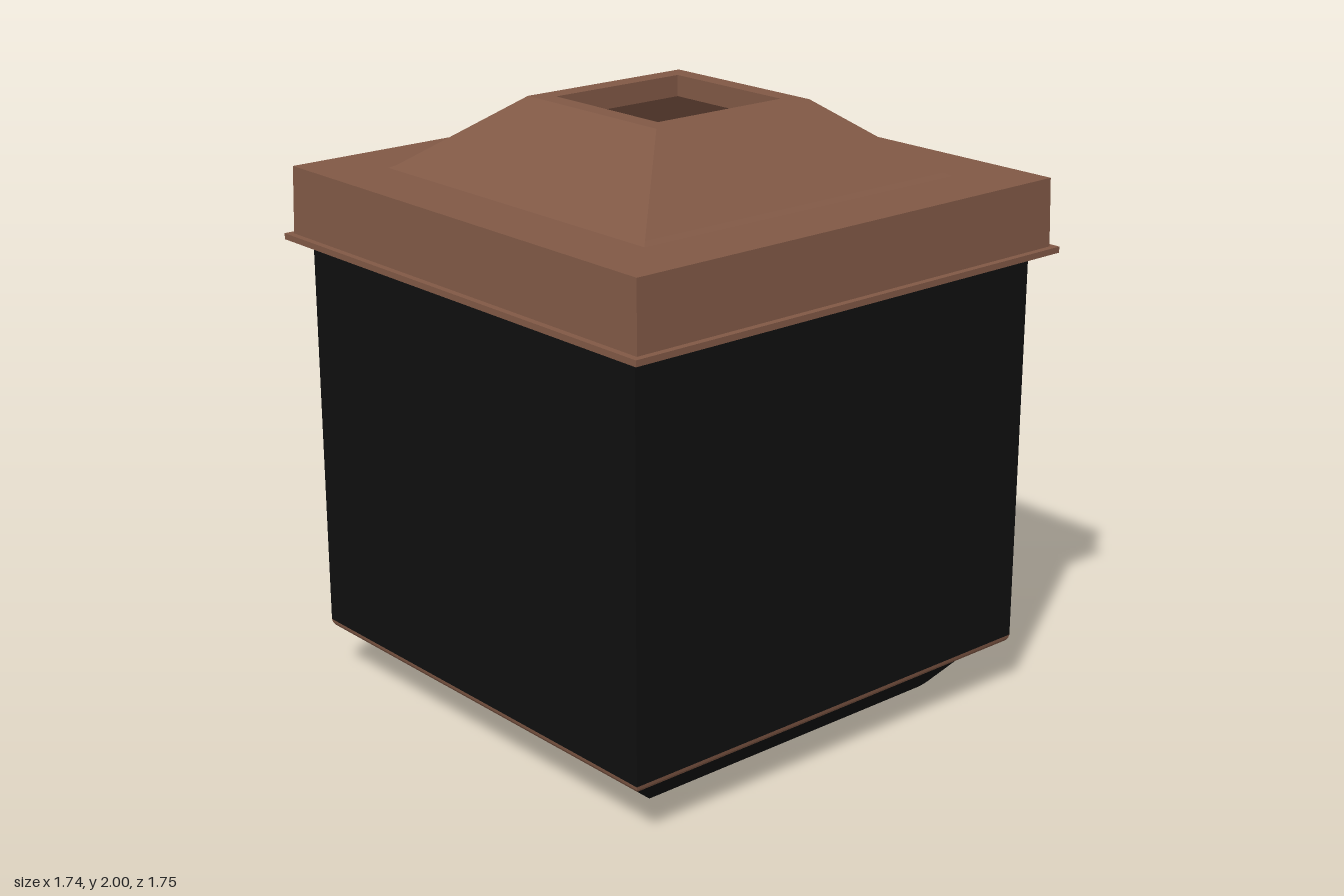
import * as THREE from 'three';

const brown = new THREE.MeshStandardMaterial({ color: 0x805845 });
const black = new THREE.MeshStandardMaterial({ color: 0x0f0f0f });

// Sweeps a profile of [halfWidth, halfDepth, y] around four flat sides.
// Profiles run outward underneath, up the outside, then in and down the inside.
function squareLoft(name, profile, material) {
  const corners = [[1, 1], [1, -1], [-1, -1], [-1, 1]];
  const point = ([hx, hz, y], k) => {
    const [sx, sz] = corners[k % 4];
    return new THREE.Vector3(sx * hx, y, sz * hz);
  };
  const positions = [];
  const triangle = (...pts) => {
    if (new THREE.Triangle(...pts).getArea() < 1e-8) return;
    pts.forEach((p) => positions.push(p.x, p.y, p.z));
  };
  for (let i = 0; i < profile.length - 1; i++) {
    for (let k = 0; k < 4; k++) {
      const a = point(profile[i], k), b = point(profile[i], k + 1);
      const c = point(profile[i + 1], k + 1), d = point(profile[i + 1], k);
      triangle(a, b, c);
      triangle(a, c, d);
    }
  }
  const geometry = new THREE.BufferGeometry();
  geometry.setAttribute('position', new THREE.Float32BufferAttribute(positions, 3));
  geometry.computeVertexNormals();
  const mesh = new THREE.Mesh(geometry, material);
  mesh.name = name;
  return mesh;
}

export function createModel() {
  const group = new THREE.Group();
  group.name = 'squareBin';

  // Tapered foot with a closed underside
  group.add(squareLoft('base', [
    [0, 0, 0], [0.6, 0.6, 0], [0.615, 0.615, 0.015], [0.735, 0.745, 0.165],
  ], black));

  // Rounded trim around the bottom edge of the body
  const trim = [[0.72, 0.73, 0.165]];
  for (let i = 0; i <= 4; i++) {
    const t = (i / 4) * Math.PI / 2, r = 0.03;
    const out = r * (Math.sin(t) - 1), up = r * (1 - Math.cos(t));
    trim.push([0.797 + out, 0.817 + out, 0.163 + up]);
  }
  group.add(squareLoft('bottomTrim', trim, brown));

  // Hollow body, open at the top, with an inner floor
  group.add(squareLoft('body', [
    [0.797, 0.817, 0.193], [0.797, 0.817, 1.6],
    [0.76, 0.78, 1.6], [0.76, 0.78, 0.2], [0, 0, 0.2],
  ], black));

  // Lid: drip lip, upright band, sloped hood and square opening, with its inside
  group.add(squareLoft('lid', [
    [0.797, 0.817, 1.52], [0.872, 0.877, 1.52], [0.872, 0.877, 1.54],
    [0.85, 0.855, 1.54], [0.845, 0.85, 1.762],
    [0.625, 0.635, 1.762], [0.605, 0.615, 1.772],
    [0.308, 0.315, 2], [0.243, 0.253, 2],
    [0.243, 0.253, 1.93], [0.56, 0.57, 1.7],
    [0.797, 0.817, 1.7], [0.797, 0.817, 1.52],
  ], brown));

  return group;
}
